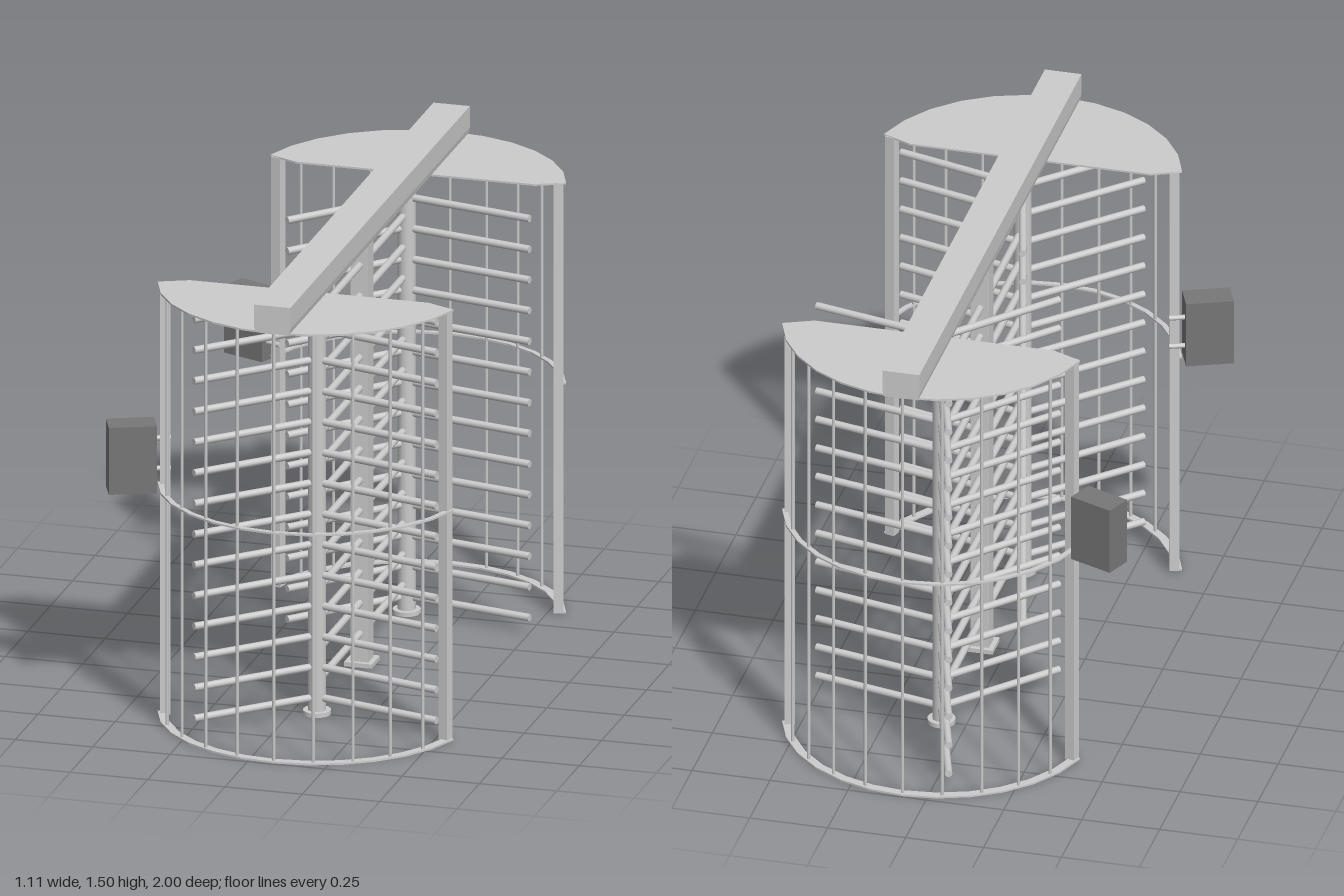
import * as THREE from 'three';

const grey = new THREE.MeshStandardMaterial({ color: 0xcccccc });
const dark = new THREE.MeshStandardMaterial({ color: 0x777777 });
const CX = 0.08;      // shared x of beam, rotors and centre post
const CZ = 0.5;       // rotor distance from the middle
const ROOF_Y = 1.415;
const rad = THREE.MathUtils.degToRad;

function add(parent, name, geometry, x, y, z, material = grey) {
  const mesh = new THREE.Mesh(geometry, material);
  mesh.name = name;
  mesh.position.set(x, y, z);
  parent.add(mesh);
  return mesh;
}

function group(parent, name, x = 0, z = 0) {
  const g = new THREE.Group();
  g.name = name;
  g.position.set(x, 0, z);
  parent.add(g);
  return g;
}

// Points along the cage arc, s = +1 front, -1 back
function arc(r, s, from = 15, to = 165, n = 12) {
  return Array.from({ length: n + 1 }, (_, i) => {
    const a = rad(from + ((to - from) * i) / n);
    return new THREE.Vector2(r * Math.cos(a), s * r * Math.sin(a));
  });
}

// Flat horizontal plate from an outline in x and z, its top at y = 0
function plate(points, thickness) {
  const geo = new THREE.ExtrudeGeometry(new THREE.Shape(points), { depth: thickness, bevelEnabled: false });
  return geo.rotateX(Math.PI / 2);
}

// Rotor: round column with flanges and three combs of arms
function rotor(parent, name, z, turn) {
  const g = group(parent, name, CX, z);
  add(g, 'rotorColumn', new THREE.CylinderGeometry(0.028, 0.028, ROOF_Y, 20), 0, ROOF_Y / 2, 0);
  const flange = new THREE.CylinderGeometry(0.044, 0.044, 0.014, 20);
  add(g, 'bottomFlange', flange, 0, 0.007, 0);
  add(g, 'topFlange', flange, 0, ROOF_Y - 0.009, 0);
  const arm = new THREE.CylinderGeometry(0.012, 0.012, 0.435, 10).rotateZ(Math.PI / 2).translate(0.2175, 0, 0);
  for (let k = 0; k < 3; k++) {
    for (let i = 0; i < 14; i++) {
      add(g, 'rotorArm', arm, 0, 0.055 + i * 0.1008, 0).rotation.y = -rad(turn + k * 120);
    }
  }
}

// Half-round cage with roof, hoops, bars, end posts and control box
function cage(parent, name, s) {
  const g = group(parent, name, CX, s * CZ);
  const roof = [...arc(0.495, s), new THREE.Vector2(-0.385, s * 0.087), new THREE.Vector2(0.385, s * 0.087)];
  add(g, 'roofPlate', plate(roof, 0.006), 0, ROOF_Y, 0);

  const hoop = (r0, r1, t) => plate([...arc(r1, s), ...arc(r0, s).reverse()], t);
  add(g, 'bottomHoop', hoop(0.467, 0.495, 0.006), 0, 0.006, 0);
  add(g, 'middleHoop', hoop(0.478, 0.495, 0.006), 0, 0.758, 0);

  const bar = new THREE.CylinderGeometry(0.0055, 0.0055, ROOF_Y - 0.005, 8);
  for (const p of arc(0.481, s, 30.8, 149.2, 8)) add(g, 'cageBar', bar, p.x, ROOF_Y / 2, p.y);

  const post = new THREE.BoxGeometry(0.032, ROOF_Y - 0.005, 0.032);
  for (const side of [1, -1]) {
    add(g, 'endPost', post, side * 0.453, ROOF_Y / 2, s * 0.13).rotation.y = -side * s * rad(16);
  }

  // Control box outside the right-hand post
  const box = group(g, 'controlBox', -0.55, s * 0.172);
  box.rotation.y = s * 0.39;
  add(box, 'boxHousing', new THREE.BoxGeometry(0.15, 0.22, 0.09), 0, 0.85, 0, dark);
  const bracket = new THREE.CylinderGeometry(0.008, 0.008, 0.06, 10).rotateZ(Math.PI / 2);
  for (const y of [0.8, 0.9]) add(box, 'boxBracket', bracket, 0.095, y, -s * 0.018);
}

export function createModel() {
  const model = new THREE.Group();
  model.name = 'doubleTurnstile';

  // Overhead beam with chamfered lower edges
  const section = [[-0.055, 0], [0.055, 0], [0.059, 0.02], [0.059, 0.09], [-0.059, 0.09], [-0.059, 0.02]];
  const beam = new THREE.ExtrudeGeometry(
    new THREE.Shape(section.map(([x, y]) => new THREE.Vector2(x, y))), { depth: 2, bevelEnabled: false });
  add(model, 'overheadBeam', beam, CX, 1.413, -1);

  // Centre post with its fixed comb of bars
  const centre = group(model, 'centreBarrier', CX, 0);
  add(centre, 'centrePost', new THREE.BoxGeometry(0.058, ROOF_Y, 0.058), 0, ROOF_Y / 2, 0);
  add(centre, 'centreBasePlate', new THREE.BoxGeometry(0.09, 0.014, 0.09), 0, 0.007, 0);
  const fixedBar = new THREE.CylinderGeometry(0.012, 0.012, 0.9, 10).rotateX(Math.PI / 2);
  for (let i = 0; i < 13; i++) add(centre, 'fixedBar', fixedBar, 0, 0.105 + i * 0.1008, 0);

  rotor(model, 'frontRotor', CZ, 15.3);
  rotor(model, 'backRotor', -CZ, 12.5);
  cage(model, 'frontCage', 1);
  cage(model, 'backCage', -1);
  return model;
}
